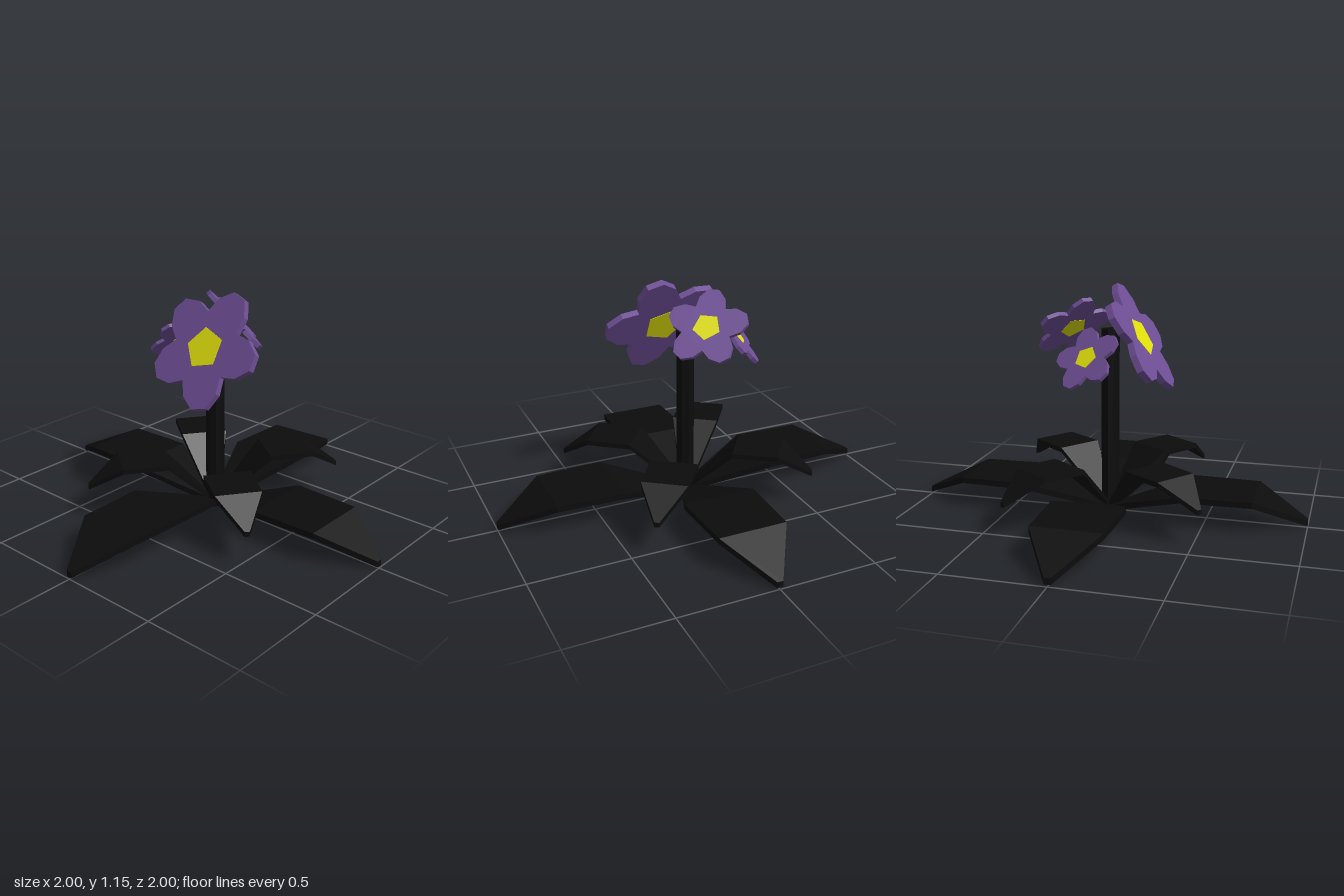
import * as THREE from 'three';

const material = (color) => new THREE.MeshStandardMaterial({ color, flatShading: true });
const dark = material(0x0c0c0c);
const purple = material(0x6f4f96);
const yellow = material(0xe2e20c);

// Bent leaf along +x: each station is [distance, half width, height].
function makeLeaf(name, stations, thickness, angle) {
  const geometry = new THREE.BoxGeometry(3, 1, 2, 3, 1, 1);
  const p = geometry.attributes.position;
  for (let i = 0; i < p.count; i++) {
    const [r, w, y] = stations[Math.round(p.getX(i) + 1.5)];
    p.setXYZ(i, r, y + p.getY(i) * thickness, p.getZ(i) * w);
  }
  geometry.computeVertexNormals();
  const leaf = new THREE.Mesh(geometry, dark);
  leaf.name = name;
  leaf.rotation.y = angle;
  return leaf;
}

// Slab cut from an outline, centred on its own thickness.
function slab(points, depth, mat, name) {
  const geometry = new THREE.ExtrudeGeometry(new THREE.Shape(points), { depth, bevelEnabled: false });
  geometry.translate(0, 0, -depth / 2);
  const mesh = new THREE.Mesh(geometry, mat);
  mesh.name = name;
  return mesh;
}

// Five-petalled flower facing along normal, one petal pointing along petal.
function makeFlower(name, centre, normal, petal, scale) {
  const outline = [], core = [];
  const origin = new THREE.Vector2();
  const half = [[0.15, -0.109], [0.232, -0.095], [0.298, -0.04], [0.298, 0.04], [0.232, 0.095]];
  for (let k = 0; k < 5; k++) {
    const a = k * Math.PI * 2 / 5;
    for (const [x, y] of half) outline.push(new THREE.Vector2(x, y).rotateAround(origin, a));
    core.push(new THREE.Vector2(0.105, 0).rotateAround(origin, a + Math.PI / 5));
  }
  const flower = new THREE.Group();
  flower.name = name;
  flower.add(slab(outline, 0.034, purple, 'petals'), slab(core, 0.038, yellow, 'flowerCentre'));

  const n = new THREE.Vector3(...normal).normalize();
  const u = new THREE.Vector3(...petal).projectOnPlane(n).normalize();
  const v = new THREE.Vector3().crossVectors(n, u);
  flower.quaternion.setFromRotationMatrix(new THREE.Matrix4().makeBasis(u, v, n));
  flower.position.set(...centre);
  flower.scale.setScalar(scale);
  return flower;
}

export function createModel() {
  const model = new THREE.Group();
  model.name = 'floweringPlant';

  // Stem
  const stem = new THREE.Mesh(new THREE.CylinderGeometry(0.047, 0.047, 0.94, 8), dark);
  stem.name = 'stem';
  stem.position.y = 0.47;
  model.add(stem);

  // Four long low leaves and four short raised leaves
  const long = [[0.02, 0.03, 0.02], [0.4, 0.186, 0.145], [0.745, 0.174, 0.145], [1, 0.015, 0.025]];
  const short = [[0.01, 0.025, 0.025], [0.262, 0.12, 0.278], [0.49, 0.114, 0.278], [0.655, 0.012, 0.165]];
  for (let i = 0; i < 4; i++) {
    const turn = i * Math.PI / 2;
    model.add(makeLeaf('longLeaf', long, 0.03, turn));
    model.add(makeLeaf('shortLeaf', short, 0.025, turn + THREE.MathUtils.degToRad(54)));
  }

  // Flowers
  model.add(
    makeFlower('frontFlower', [0.06, 0.89, 0.135], [0, 0.5, 0.87], [1, -0.03, 0], 1),
    makeFlower('backFlower', [-0.03, 0.95, -0.185], [0.48, 0.68, -0.56], [-0.015, -0.1, -0.135], 0.66),
    makeFlower('sideFlower', [-0.26, 0.835, -0.045], [-0.7, 0.62, -0.33], [0.118, 0.119, -0.027], 0.57)
  );
  return model;
}
